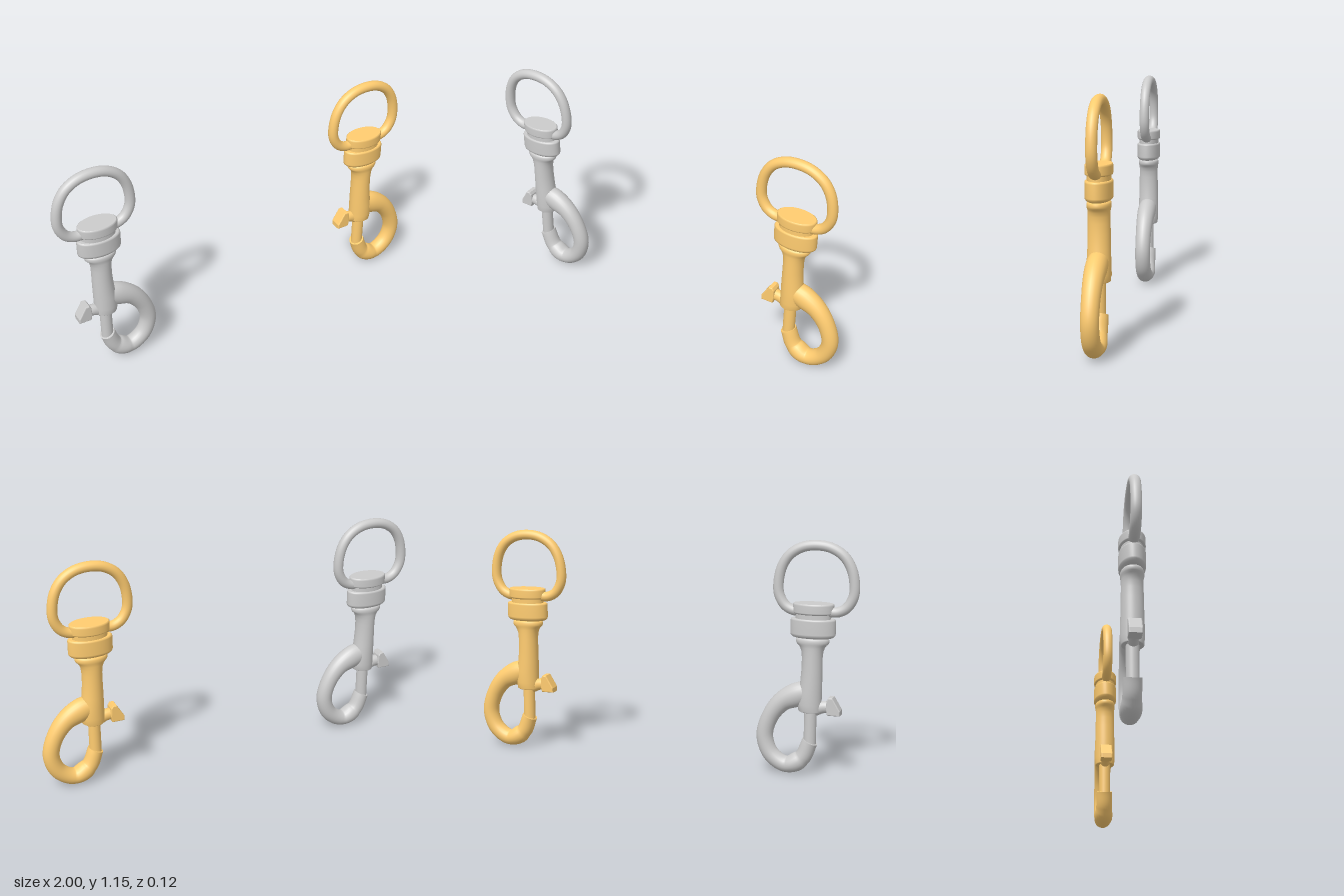
import * as THREE from 'three';

const V = (x, y) => new THREE.Vector3(x, y, 0);

// Skin a list of closed rings (arrays of Vector3) with flat end caps.
function skin(rings) {
  const n = rings[0].length, pos = [], idx = [];
  rings.forEach(r => r.forEach(p => pos.push(p.x, p.y, p.z)));
  for (let i = 0; i < rings.length - 1; i++) {
    for (let j = 0; j < n; j++) {
      const a = i * n + j, b = i * n + (j + 1) % n;
      idx.push(a, b, a + n, b, b + n, a + n);
    }
  }
  [0, rings.length - 1].forEach((k, end) => {
    const base = pos.length / 3, c = new THREE.Vector3();
    rings[k].forEach(p => { pos.push(p.x, p.y, p.z); c.addScaledVector(p, 1 / n); });
    pos.push(c.x, c.y, c.z);
    for (let j = 0; j < n; j++) {
      const a = base + j, b = base + (j + 1) % n;
      if (end) idx.push(a, b, base + n); else idx.push(b, a, base + n);
    }
  });
  const g = new THREE.BufferGeometry();
  g.setAttribute('position', new THREE.Float32BufferAttribute(pos, 3));
  g.setIndex(idx);
  g.computeVertexNormals();
  return g;
}

// Sweep an ellipse along a planar curve; rows are [x, y, in-plane radius, depth radius].
function sweep(rows, steps, sides = 24) {
  const path = new THREE.CatmullRomCurve3(rows.map(r => V(r[0], r[1])));
  const size = new THREE.CatmullRomCurve3(rows.map(r => V(r[2], r[3])));
  const rings = [];
  for (let i = 0; i <= steps; i++) {
    const t = i / steps, p = path.getPoint(t), d = path.getTangent(t), s = size.getPoint(t);
    rings.push(Array.from({ length: sides }, (_, j) => {
      const a = j / sides * Math.PI * 2, u = Math.cos(a) * s.x;
      return new THREE.Vector3(p.x + d.y * u, p.y - d.x * u, -Math.sin(a) * s.y);
    }));
  }
  return skin(rings);
}

// Stack of ellipses up the y axis; rows are [y, half width, half depth, x shift].
function stack(rows, sides = 48) {
  return skin(rows.map(([y, rx, rz, cx = 0]) => Array.from({ length: sides }, (_, j) => {
    const a = j / sides * Math.PI * 2;
    return new THREE.Vector3(cx + Math.cos(a) * rx, y, -Math.sin(a) * rz);
  })));
}

function createClip(name, color) {
  const clip = new THREE.Group();
  clip.name = name;
  const material = new THREE.MeshStandardMaterial({ color });
  const add = (partName, geometry) => {
    const mesh = new THREE.Mesh(geometry, material);
    mesh.name = partName;
    clip.add(mesh);
    return mesh;
  };

  // Open D-shaped strap ring, its ends tucked into the swivel
  const rc = -0.01, half = [[0.06, 0.816], [0.108, 0.817], [0.15, 0.84], [0.179, 0.89],
    [0.184, 0.945], [0.168, 1.025], [0.13, 1.085], [0.07, 1.122]];
  const ring = [...half.map(([x, y]) => [rc + x, y]), [rc, 1.133],
    ...half.slice().reverse().map(([x, y]) => [rc - x, y])];
  add('strapRing', sweep(ring.map(([x, y]) => [x, y, 0.025, 0.026]), 96, 20));

  // Swivel: cap, neck and collar
  add('swivelCap', stack([[0.803, 0.088, 0.055], [0.807, 0.097, 0.061], [0.812, 0.1, 0.062],
    [0.846, 0.1, 0.062], [0.852, 0.099, 0.061], [0.855, 0.095, 0.058]]));
  add('swivelNeck', stack([[0.77, 0.086, 0.053], [0.81, 0.086, 0.053]]));
  add('swivelCollar', stack([[0.688, 0.09, 0.046], [0.692, 0.1, 0.054], [0.7, 0.108, 0.061],
    [0.708, 0.11, 0.062], [0.772, 0.11, 0.062], [0.778, 0.108, 0.061], [0.781, 0.103, 0.057]]));
  add('swivelStem', stack([[0.66, 0.065, 0.044], [0.7, 0.065, 0.044]]));

  // Flared shaft
  add('shaft', stack([[0.322, 0.052, 0.048, 0.003], [0.326, 0.056, 0.052, 0.005],
    [0.36, 0.059, 0.055, 0.008], [0.42, 0.058, 0.055, 0.007], [0.47, 0.053, 0.053, 0.002],
    [0.54, 0.05, 0.052], [0.59, 0.05, 0.051], [0.62, 0.053, 0.051], [0.64, 0.06, 0.051],
    [0.652, 0.069, 0.052], [0.659, 0.077, 0.054], [0.667, 0.081, 0.055],
    [0.677, 0.081, 0.055], [0.684, 0.077, 0.052], [0.687, 0.068, 0.046]]));

  // Curved hook, thicker where it leaves the shaft
  add('hook', sweep([[0, 0.425, 0.05, 0.046], [0.07, 0.4, 0.06, 0.05], [0.143, 0.36, 0.049, 0.046],
    [0.203, 0.28, 0.042, 0.042], [0.228, 0.18, 0.041, 0.041], [0.195, 0.09, 0.041, 0.042],
    [0.117, 0.044, 0.041, 0.043], [0.04, 0.082, 0.041, 0.043], [0.001, 0.17, 0.039, 0.042]], 72));

  // Sliding bolt and thumb lever
  const bolt = add('bolt', new THREE.CylinderGeometry(0.03, 0.03, 0.2, 28));
  bolt.position.set(0.002, 0.25, 0);
  add('leverStem', sweep([[-0.02, 0.335, 0.034, 0.028], [-0.06, 0.348, 0.03, 0.027],
    [-0.115, 0.35, 0.029, 0.027]], 12));
  const outline = new THREE.Shape([[-0.142, 0.318], [-0.088, 0.318], [-0.082, 0.345],
    [-0.085, 0.385], [-0.092, 0.396], [-0.106, 0.396], [-0.142, 0.336]]
    .map(([x, y]) => new THREE.Vector2(x, y)));
  const knob = add('thumbKnob', new THREE.ExtrudeGeometry(outline, {
    depth: 0.05, bevelThickness: 0.006, bevelSize: 0.005, bevelSegments: 3 }));
  knob.position.z = -0.025;
  return clip;
}

export function createModel() {
  const model = new THREE.Group();
  model.name = 'swivelClips';
  [['greyClip', 0xcccccc, -0.782], ['goldClip', 0xffcc70, 0.726]].forEach(([name, color, x]) => {
    const clip = createClip(name, color);
    clip.position.x = x;
    model.add(clip);
  });
  return model;
}
